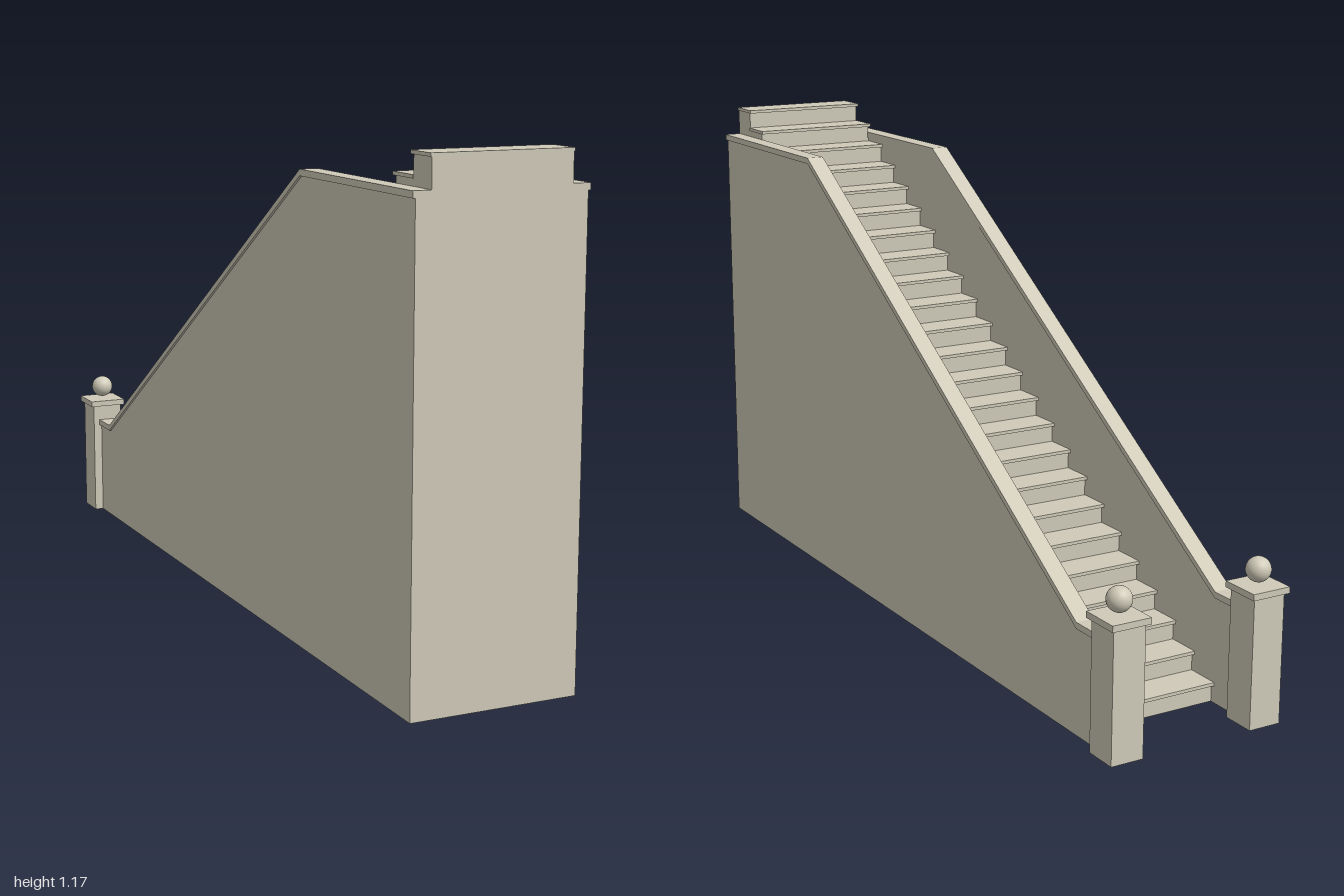
import * as THREE from 'three';

const STEPS = 24;
const FIRST = -0.82;   // z of the lowest riser
const RUN = 0.0758;
const RISE = 1.173 / STEPS;
const BACK = 1;        // z of the tall end
const TREAD = 0.008;

const stone = new THREE.MeshStandardMaterial({ color: 0xcfcab8 });
stone.name = 'pale stone';

// Extrudes a (z, y) outline across x, from x0 to x1
function slab(name, points, x0, x1) {
  const shape = new THREE.Shape(points.map(([z, y]) => new THREE.Vector2(z, y)));
  const geo = new THREE.ExtrudeGeometry(shape, { depth: x1 - x0, bevelEnabled: false });
  geo.rotateY(-Math.PI / 2);
  geo.translate(x1, 0, 0);
  const mesh = new THREE.Mesh(geo, stone);
  mesh.name = name;
  return mesh;
}

function box(name, w, h, d, x, y, z) {
  const mesh = new THREE.Mesh(new THREE.BoxGeometry(w, h, d), stone);
  mesh.name = name;
  mesh.position.set(x, y, z);
  return mesh;
}

export function createModel() {
  const model = new THREE.Group();
  model.name = 'staircase';

  // Solid stepped body
  const outline = [[BACK, 0], [FIRST, 0]];
  for (let i = 0; i < STEPS; i++) {
    const z = FIRST + i * RUN;
    const y = (i + 1) * RISE - TREAD;
    outline.push([z, y], [i === STEPS - 1 ? BACK : z + RUN, y]);
  }
  model.add(slab('stepBody', outline.reverse(), -0.164, 0.164));

  // Treads with a small nosing
  const treads = new THREE.Group();
  treads.name = 'treads';
  for (let i = 0; i < STEPS; i++) {
    const z0 = FIRST + i * RUN - 0.01;
    const z1 = i === STEPS - 1 ? BACK : z0 + RUN + 0.01;
    treads.add(box('tread', 0.333, TREAD, z1 - z0, 0, (i + 1) * RISE - TREAD / 2, (z0 + z1) / 2));
  }
  model.add(treads);

  // Top line of the side walls, from the tall end down to the posts
  const rail = [[BACK, 1.1], [0.47, 1.1], [-0.825, 0.265], [-0.93, 0.265]];
  const under = rail.map(([z, y]) => [z, y - 0.015]);

  for (const s of [-1, 1]) {
    const side = new THREE.Group();
    side.name = s > 0 ? 'leftSide' : 'rightSide';
    const across = (a, b) => (s > 0 ? [a, b] : [-b, -a]);

    // Wall and its coping
    side.add(slab('wall', [[BACK, 0], ...under, [-0.93, 0]], ...across(0.164, 0.2)));
    side.add(slab('coping', [...rail, ...[...under].reverse()], ...across(0.162, 0.206)));

    // Newel post, cap and ball
    const x = s * 0.182, z = -0.95;
    side.add(box('post', 0.081, 0.307, 0.083, x, 0.1535, z));
    side.add(box('postCap', 0.098, 0.015, 0.1, x, 0.3135, z));
    const ball = new THREE.Mesh(new THREE.SphereGeometry(0.029, 24, 16), stone);
    ball.name = 'postBall';
    ball.position.set(x, 0.355, z);
    side.add(ball);
    model.add(side);
  }
  return model;
}
